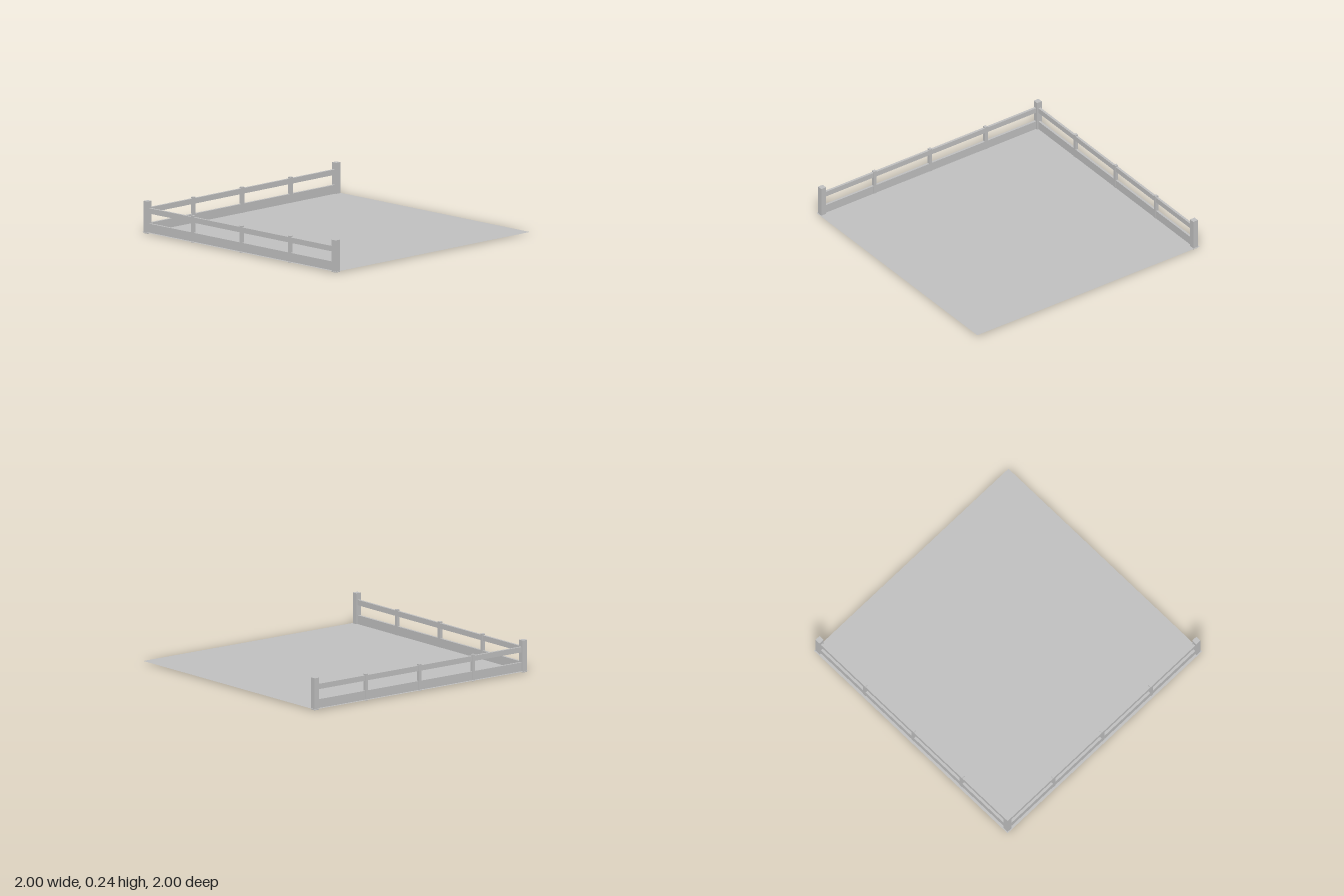
import * as THREE from 'three';

const EDGE = 0.971; // fence centre line

export function createModel() {
  const grey = new THREE.MeshStandardMaterial({ color: 0xc0c0c0, side: THREE.DoubleSide });
  grey.name = 'plainGrey';
  const model = new THREE.Group();
  model.name = 'fencedPlatform';

  // box resting between two heights
  function box(parent, name, w, d, bottom, top, x, z) {
    const mesh = new THREE.Mesh(new THREE.BoxGeometry(w, top - bottom, d), grey);
    mesh.name = name;
    mesh.position.set(x, (bottom + top) / 2, z);
    parent.add(mesh);
  }

  // single-sheet floor, just above the feet of the fence
  const floor = new THREE.Mesh(new THREE.PlaneGeometry(2, 2), grey);
  floor.name = 'floor';
  floor.rotation.x = -Math.PI / 2;
  floor.position.y = 0.009;
  model.add(floor);

  // one fence run along x: base board, top rail and three balusters
  function fence(name) {
    const run = new THREE.Group();
    run.name = name;
    const length = 2 * EDGE - 0.042;
    box(run, 'baseBoard', length, 0.018, 0.004, 0.075, 0, 0);
    box(run, 'topRail', length, 0.018, 0.15, 0.19, 0, 0);
    for (const x of [-0.5, 0, 0.5]) box(run, 'baluster', 0.024, 0.024, 0, 0.2, x, 0);
    model.add(run);
    return run;
  }
  fence('backFence').position.z = -EDGE;
  const side = fence('sideFence');
  side.rotation.y = Math.PI / 2;
  side.position.x = -EDGE;

  // tall posts at the fence ends and the shared corner
  for (const [x, z] of [[-1, -1], [1, -1], [-1, 1]]) {
    box(model, 'cornerPost', 0.042, 0.042, 0, 0.24, x * EDGE, z * EDGE);
  }
  return model;
}
